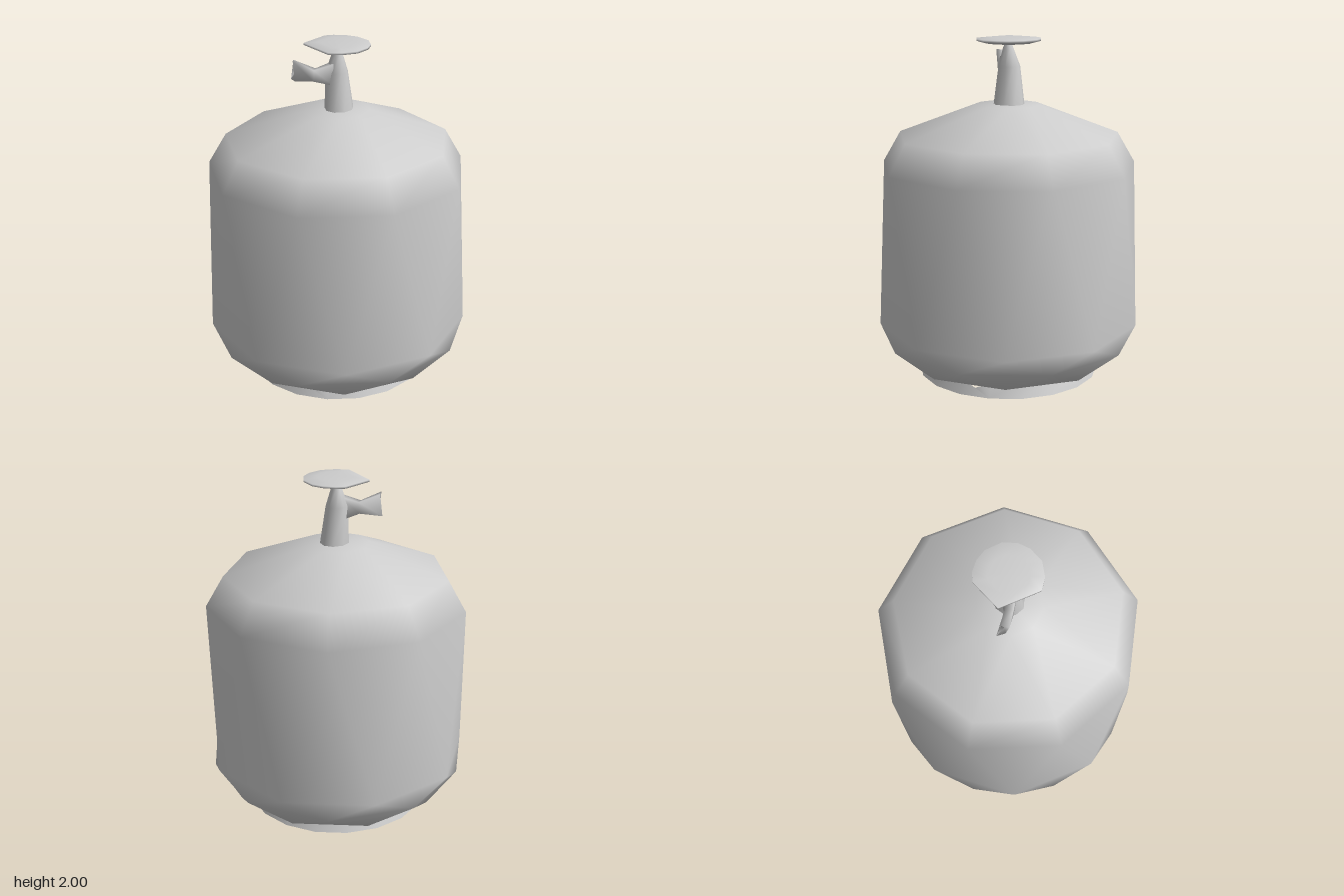
import * as THREE from 'three';
import { mergeVertices, mergeGeometries } from 'three/addons/utils/BufferGeometryUtils.js';

const DEG = Math.PI / 180;

// Skin a list of equally long point loops with smooth shared normals
function loft(loops) {
  const n = loops[0].length, index = [];
  for (let r = 0; r < loops.length - 1; r++) {
    for (let k = 0; k < n; k++) {
      const a = r * n + k, a2 = r * n + (k + 1) % n;
      index.push(a, a + n, a2, a2, a + n, a2 + n);
    }
  }
  const g = new THREE.BufferGeometry();
  g.setAttribute('position', new THREE.Float32BufferAttribute(loops.flat(2), 3));
  g.setIndex(index);
  return smooth(g);
}

function smooth(g) {
  const merged = mergeVertices(g, 1e-4);
  merged.computeVertexNormals();
  return merged;
}

// Horizontal ring of n points, starting at an angle measured from +x towards +z
function ring(n, y, rx, start = 0, cx = 0, cz = 0, rz = rx) {
  return Array.from({ length: n }, (_, k) => {
    const a = start * DEG + k / n * Math.PI * 2;
    return [cx + rx * Math.cos(a), y, cz + rz * Math.sin(a)];
  });
}

export function createModel() {
  const group = new THREE.Group();
  const grey = new THREE.MeshStandardMaterial({ color: 0xcccccc, side: THREE.DoubleSide });
  grey.name = 'painted steel grey';
  const add = (name, geometry) => {
    const mesh = new THREE.Mesh(geometry, grey);
    mesh.name = name;
    group.add(mesh);
  };

  // Nine-sided tank; successive rings are turned by half a side
  add('tank', loft([
    [0.09, 0, 1.5], [0.085, 0.5, 1.5], [0.1, 0.64, 21.5], [0.21, 0.745, 41.5],
    [0.31, 0.77, 61.5], [1.25, 0.76, 81.5], [1.43, 0.655, 81.5],
    [1.61, 0.19, 101.5], [1.615, 0, 101.5],
  ].map(([y, r, start]) => ring(9, y, r, start))));

  // Foot ring of flat panels, four of them with a diamond drain hole
  const panels = [], step = 20 * DEG;
  for (let i = 0; i < 18; i++) {
    const h = step / 2, top = 0.09;
    const shape = new THREE.Shape([[-h, 0], [h, 0], [h, top], [-h, top]].map(p => new THREE.Vector2(...p)));
    if ([0, 4, 9, 14].includes(i)) {
      shape.holes.push(new THREE.Path([[-0.08, 0.064], [0, 0.08], [0.08, 0.064], [0, 0.048]]
        .map(p => new THREE.Vector2(...p))));
    }
    const g = new THREE.ShapeGeometry(shape);
    const pos = g.attributes.position;
    for (let v = 0; v < pos.count; v++) {
      const y = pos.getY(v), a = (1.5 + i * 20) * DEG - pos.getX(v);
      const r = 0.535 - y * 0.4;
      pos.setXYZ(v, r * Math.cos(a), y, r * Math.sin(a));
    }
    g.deleteAttribute('uv');
    g.deleteAttribute('normal');
    panels.push(g);
  }
  add('footRing', smooth(mergeGeometries(panels)));

  // Tapered valve stem
  add('valveStem', loft([
    ring(9, 1.6, 0.083, 1.5, 0.008, -0.008, 0.093),
    ring(9, 1.83, 0.064, 1.5, -0.005, -0.005),
    ring(9, 1.93, 0.032, 1.5),
    ring(9, 1.975, 0.014, 1.5),
  ]));

  // Flared outlet: pinched near the stem, slanted at the mouth
  const mouth = [[-0.22, 1.9, 0.11], [-0.205, 1.905, 0.15], [-0.205, 1.78, 0.125], [-0.245, 1.78, 0.095]];
  add('outlet', loft([
    [[-0.03, 1.885, -0.01], [0.0, 1.885, 0.05], [0.0, 1.76, 0.05], [-0.06, 1.76, -0.01]],
    [[-0.11, 1.85, 0.055], [-0.1, 1.85, 0.1], [-0.1, 1.785, 0.1], [-0.12, 1.785, 0.055]],
    mouth,
    mouth.map(() => [-0.2, 1.842, 0.115]),
  ]));

  // Shallow handwheel with one side cut straight
  const rim = [[-0.18, 0.06], [-0.14, -0.13], [-0.1, -0.165], [-0.03, -0.188], [0.04, -0.187], [0.13, -0.14],
    [0.175, -0.07], [0.186, 0], [0.165, 0.09], [0.1, 0.155], [0.03, 0.183]];
  const wheelLoop = (s, y) => rim.map(([x, z]) => [x * s, y, z * s]);
  add('handwheel', loft([
    wheelLoop(0, 1.962), wheelLoop(0.75, 1.965), wheelLoop(1, 1.978),
    wheelLoop(1, 1.99), wheelLoop(0.6, 1.998), wheelLoop(0, 2),
  ]));

  return group;
}
